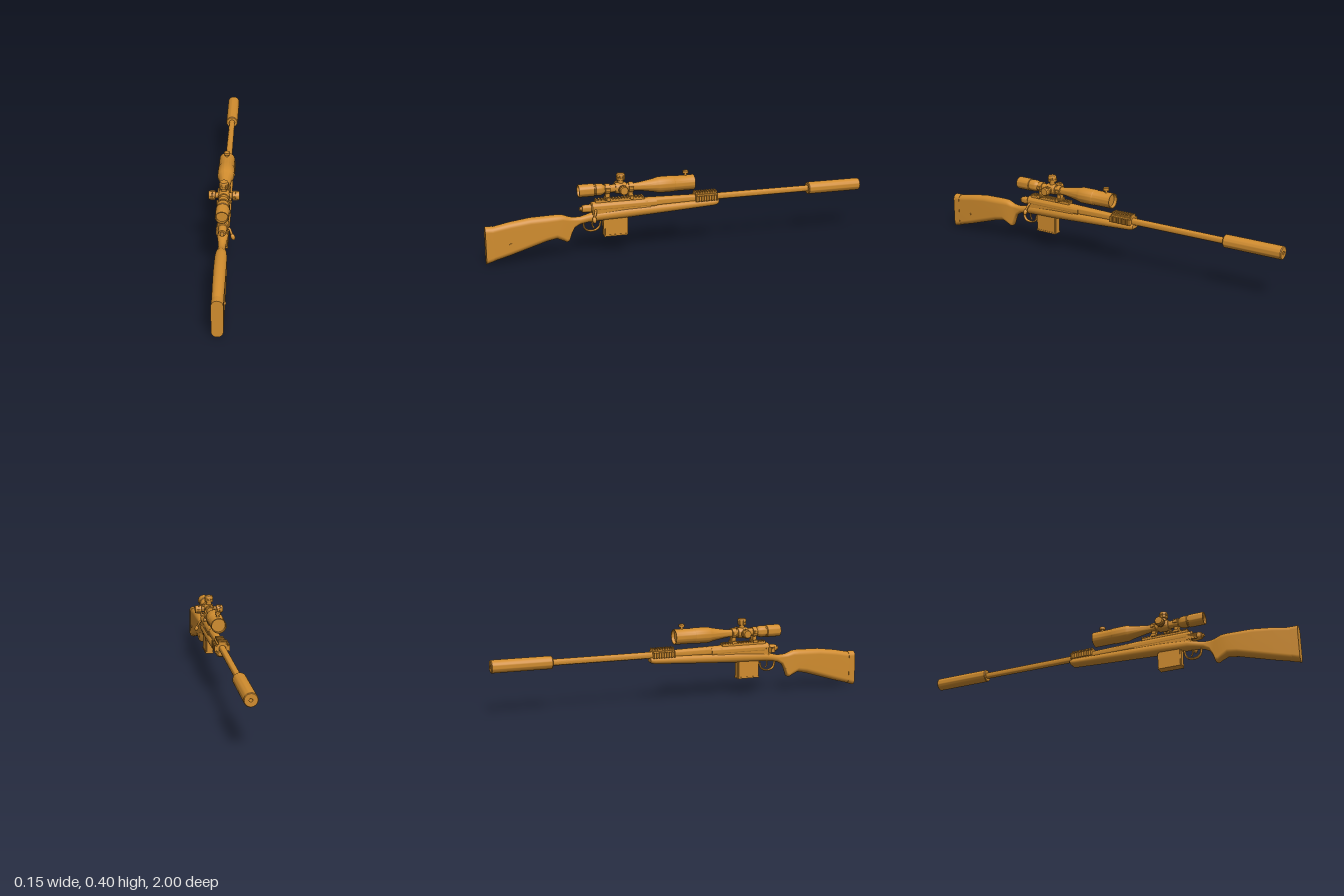
import * as THREE from 'three';
import { toCreasedNormals } from 'three/addons/utils/BufferGeometryUtils.js';

const ochre = new THREE.MeshStandardMaterial({ color: 0xd08c2e });
ochre.name = 'ochre';

export function createModel() {
  const model = new THREE.Group();

  function add(name, geo, x = 0, y = 0, z = 0) {
    const m = new THREE.Mesh(geo, ochre);
    m.name = name;
    m.position.set(x, y, z);
    model.add(m);
    return m;
  }
  const box = (name, w, h, d, x, y, z) => add(name, new THREE.BoxGeometry(w, h, d), x, y, z);

  // Turned part: profile of [radius, height] pairs, height ascending; axis 'x', 'y' or 'z'
  function turned(name, profile, axis, x, y, z, seg = 32) {
    let g = new THREE.LatheGeometry(profile.map(([r, h]) => new THREE.Vector2(r, h)), seg);
    g = toCreasedNormals(g, 0.6);
    if (axis === 'z') g.rotateX(Math.PI / 2);
    if (axis === 'x') g.rotateZ(-Math.PI / 2);
    return add(name, g, x, y, z);
  }

  // Loft of rounded rectangles; sections [z, top, bottom, halfWidth] run from +z to -z
  function loft(name, sections, n = 8) {
    const pos = [], idx = [], ring = 4 * n;
    const outline = ([z, top, bot, w]) => {
      const h = (top - bot) / 2, r = Math.min(w, h) * 0.97, pts = [];
      for (let q = 0; q < 4; q++) {
        const sx = q === 0 || q === 3 ? 1 : -1, sy = q < 2 ? 1 : -1;
        for (let k = 0; k < n; k++) {
          const a = (q + k / (n - 1)) * Math.PI / 2;
          pts.push([sx * (w - r) + r * Math.cos(a), bot + h + sy * (h - r) + r * Math.sin(a), z]);
        }
      }
      return pts;
    };
    sections.forEach(s => outline(s).forEach(p => pos.push(...p)));
    for (let i = 0; i < sections.length - 1; i++) for (let j = 0; j < ring; j++) {
      const a = i * ring + j, b = i * ring + (j + 1) % ring;
      idx.push(a, a + ring, b, b, a + ring, b + ring);
    }
    for (const s of [sections[0], sections[sections.length - 1]]) {
      const c = pos.length / 3, flip = s !== sections[0];
      pos.push(0, (s[1] + s[2]) / 2, s[0]);
      outline(s).forEach(p => pos.push(...p));
      for (let j = 0; j < ring; j++) {
        const p = c + 1 + j, q = c + 1 + (j + 1) % ring;
        idx.push(c, flip ? q : p, flip ? p : q);
      }
    }
    const g = new THREE.BufferGeometry();
    g.setAttribute('position', new THREE.Float32BufferAttribute(pos, 3));
    g.setIndex(idx);
    g.computeVertexNormals();
    return add(name, g);
  }

  // Stock
  loft('buttPad', [[1, 0.19, 0.002, 0.027], [0.962, 0.19, 0.013, 0.0275]]);
  loft('stock', [
    [0.962, 0.188, 0.014, 0.0265], [0.88, 0.204, 0.036, 0.028], [0.78, 0.217, 0.066, 0.029],
    [0.70, 0.219, 0.09, 0.029], [0.65, 0.22, 0.099, 0.028], [0.62, 0.218, 0.086, 0.025],
    [0.6, 0.21, 0.075, 0.022], [0.587, 0.205, 0.08, 0.02], [0.575, 0.202, 0.115, 0.018],
    [0.56, 0.2, 0.145, 0.017], [0.53, 0.2, 0.162, 0.018], [0.49, 0.21, 0.169, 0.023],
    [0.45, 0.222, 0.172, 0.029], [0.3, 0.232, 0.176, 0.032], [0, 0.236, 0.192, 0.031],
    [-0.17, 0.236, 0.202, 0.029], [-0.188, 0.236, 0.206, 0.027], [-0.195, 0.234, 0.212, 0.023]]);
  turned('slingButton', [[0, 0], [0.004, 0], [0.004, 0.006], [0.007, 0.006], [0.007, 0.011], [0, 0.011]],
    'x', 0.022, 0.097, 0.88, 16);

  // Barrel and muzzle tube
  turned('barrel', [[0, -0.72], [0.016, -0.72], [0.017, -0.2], [0.024, 0.12], [0.026, 0.2], [0, 0.2]],
    'z', 0, 0.246, 0);
  turned('muzzleTube', [[0, -0.96], [0.008, -0.96], [0.008, -1], [0.029, -1], [0.032, -0.996],
    [0.032, -0.704], [0.029, -0.7], [0, -0.7]], 'z', 0, 0.247, 0);

  // Receiver and bolt
  turned('receiver', [[0, 0.14], [0.027, 0.14], [0.027, 0.47], [0.023, 0.475], [0, 0.475]], 'z', 0, 0.243, 0);
  box('receiverBody', 0.05, 0.045, 0.3, 0, 0.222, 0.32);
  turned('boltShroud', [[0, 0.46], [0.021, 0.46], [0.02, 0.505], [0.017, 0.52], [0.01, 0.52],
    [0.01, 0.53], [0.006, 0.533], [0, 0.533]], 'z', 0, 0.238, 0);
  const handlePath = new THREE.CatmullRomCurve3([[0.015, 0.235, 0.455], [0.032, 0.227, 0.457],
    [0.04, 0.21, 0.463], [0.047, 0.19, 0.468]].map(p => new THREE.Vector3(...p)));
  add('boltHandle', new THREE.TubeGeometry(handlePath, 16, 0.006, 10));
  const knob = add('boltKnob', new THREE.SphereGeometry(0.0105, 18, 12), 0.048, 0.19, 0.468);
  knob.scale.set(1, 1.6, 1);
  knob.rotation.z = 0.35;

  // Ribbed catch on the right side
  box('catchPlate', 0.006, 0.03, 0.055, -0.024, 0.232, 0.475);
  for (let i = 0; i < 7; i++) box('catchRib', 0.003, 0.026, 0.004, -0.028, 0.232, 0.452 + i * 0.0077);

  // Magazine
  box('magazine', 0.04, 0.095, 0.112, 0, 0.14, 0.352);
  box('magazineRib', 0.03, 0.09, 0.125, 0, 0.14, 0.352);
  box('magazineFloor', 0.044, 0.008, 0.12, 0, 0.094, 0.352);

  // Trigger and guard
  const guardPath = new THREE.CatmullRomCurve3([[0.515, 0.168], [0.508, 0.138], [0.49, 0.124],
    [0.455, 0.124], [0.435, 0.138], [0.425, 0.17]].map(([z, y]) => new THREE.Vector3(0, y, z)));
  const guard = add('triggerGuard', new THREE.TubeGeometry(guardPath, 28, 0.005, 8));
  guard.scale.x = 1.8;
  const triggerPath = new THREE.QuadraticBezierCurve3(new THREE.Vector3(0, 0.172, 0.468),
    new THREE.Vector3(0, 0.15, 0.475), new THREE.Vector3(0, 0.136, 0.46));
  add('trigger', new THREE.TubeGeometry(triggerPath, 10, 0.004, 8));

  // Forward rail collar: toothed strips on the top and both sides
  box('railCollar', 0.052, 0.042, 0.115, 0, 0.247, -0.126);
  box('railTop', 0.036, 0.006, 0.115, 0, 0.27, -0.126);
  for (const s of [-1, 1]) box('railSide', 0.008, 0.024, 0.115, s * 0.029, 0.247, -0.126);
  for (let i = 0; i < 9; i++) {
    const z = -0.18 + i * 0.0135;
    box('railTooth', 0.04, 0.008, 0.007, 0, 0.277, z);
    for (const s of [-1, 1]) box('railTooth', 0.008, 0.03, 0.007, s * 0.035, 0.247, z);
  }

  // Sight rail on the receiver
  box('sightRail', 0.03, 0.012, 0.25, 0, 0.272, 0.328);
  for (let i = 0; i < 17; i++) box('sightRailTooth', 0.037, 0.007, 0.008, 0, 0.28, 0.21 + i * 0.0148);

  // Sight rings with clamp screws
  const SY = 0.331;
  for (const z of [0.27, 0.39]) {
    turned('ring', [[0.02, -0.012], [0.026, -0.012], [0.026, 0.012], [0.02, 0.012]], 'z', 0, SY, z);
    box('ringFoot', 0.026, 0.03, 0.022, 0, 0.3, z);
    box('ringClamp', 0.046, 0.014, 0.026, 0, 0.283, z);
    turned('clampScrew', [[0, 0], [0.005, 0], [0.005, 0.006], [0.01, 0.006], [0.01, 0.014], [0, 0.014]],
      'x', 0.02, 0.283, z, 12);
    for (const s of [-1, 1]) box('ringLug', 0.01, 0.014, 0.02, s * 0.027, SY, z);
  }

  // Telescopic sight body
  turned('sightBody', [[0, -0.045], [0.034, -0.045], [0.035, -0.062], [0.039, -0.062], [0.039, 0.045],
    [0.041, 0.048], [0.041, 0.125], [0.038, 0.135], [0.034, 0.15], [0.023, 0.215], [0.02, 0.24],
    [0.02, 0.405], [0.027, 0.415], [0.03, 0.425], [0.03, 0.45], [0.028, 0.452], [0.028, 0.458],
    [0.032, 0.46], [0.032, 0.53], [0.031, 0.537], [0.027, 0.537], [0.026, 0.525], [0, 0.525]],
    'z', 0, SY, 0, 40);
  turned('turretSaddle', [[0, 0.293], [0.025, 0.293], [0.028, 0.3], [0.028, 0.342], [0.025, 0.35], [0, 0.35]],
    'z', 0, SY, 0);

  // Adjustment turrets: one on top, one on each side, with grip ribs
  const turret = [[0, 0], [0.014, 0], [0.014, 0.039], [0.021, 0.041], [0.022, 0.046], [0.022, 0.052],
    [0.019, 0.053], [0.019, 0.057], [0.022, 0.058], [0.022, 0.066], [0.019, 0.074], [0, 0.075]];
  for (const [name, angle] of [['topTurret', 0], ['leftTurret', -Math.PI / 2], ['rightTurret', Math.PI / 2]]) {
    const t = turned(name, turret, 'y', 0, SY, 0.32, 28);
    t.rotation.z = angle;
    for (let i = 0; i < 12; i++) {
      const a = i * Math.PI / 6;
      const rib = new THREE.Mesh(new THREE.BoxGeometry(0.003, 0.022, 0.005), ochre);
      rib.name = 'turretRib';
      rib.position.set(Math.cos(a) * 0.0215, 0.054, Math.sin(a) * 0.0215);
      rib.rotation.y = -a;
      t.add(rib);
    }
  }

  // Small knob on the front bell
  turned('bellKnob', [[0, 0], [0.008, 0], [0.008, 0.012], [0.015, 0.013], [0.015, 0.026], [0.012, 0.028], [0, 0.028]],
    'y', 0, 0.367, -0.02, 20);

  return model;
}
